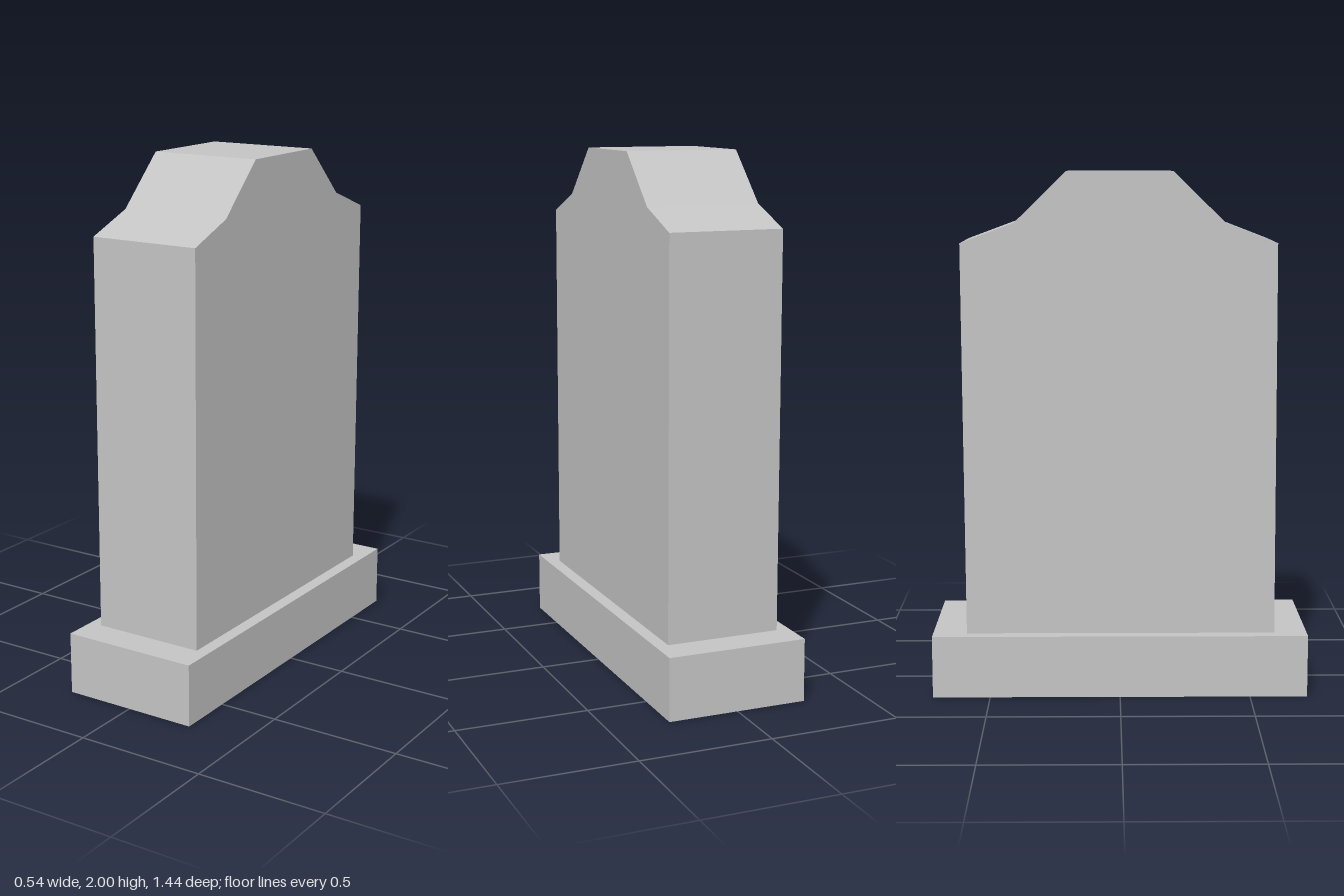
import * as THREE from 'three';

export function createModel() {
  const model = new THREE.Group();
  const stone = new THREE.MeshStandardMaterial({ color: 0xc4c4c4 });
  stone.name = 'grey stone';

  const baseHeight = 0.24;

  // Rectangular plinth
  const base = new THREE.Mesh(new THREE.BoxGeometry(0.54, baseHeight, 1.44), stone);
  base.name = 'base';
  base.position.y = baseHeight / 2;
  model.add(base);

  // Upright slab: shouldered profile in (z, y), leaning very slightly back
  const profile = [
    [0.595, baseHeight], [0.588, 1.735], [0.393, 1.81], [0.198, 2],
    [-0.2, 2], [-0.395, 1.81], [-0.597, 1.735], [-0.59, baseHeight],
  ].map(([z, y]) => new THREE.Vector2(z, y));
  const width = 0.44;
  const slabGeometry = new THREE.ExtrudeGeometry(new THREE.Shape(profile), {
    depth: width, bevelEnabled: false,
  });
  slabGeometry.translate(0, 0, -width / 2).rotateY(-Math.PI / 2);
  const slab = new THREE.Mesh(slabGeometry, stone);
  slab.name = 'headstoneSlab';
  model.add(slab);

  return model;
}
